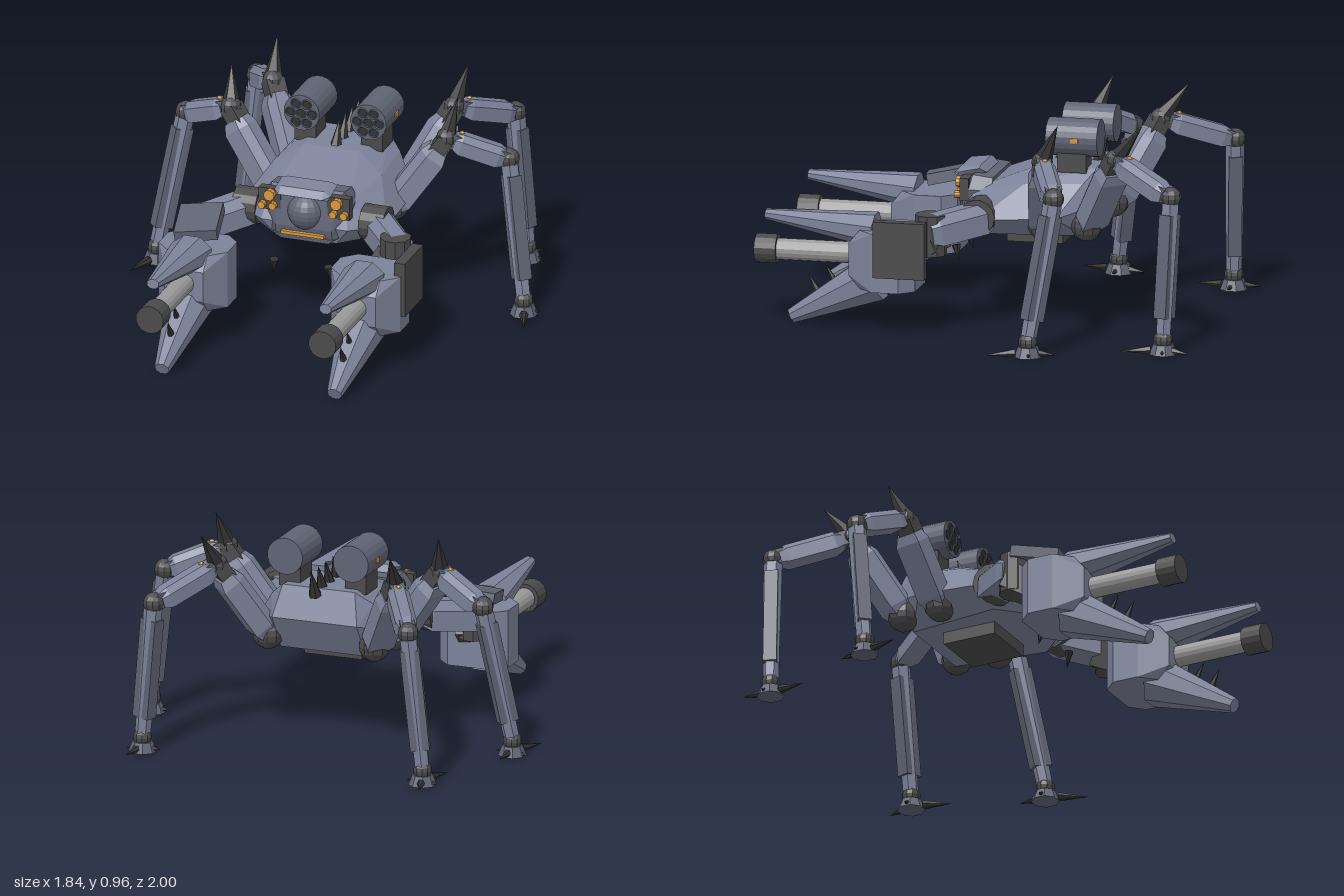
import * as THREE from 'three';
import { ConvexGeometry } from 'three/addons/geometries/ConvexGeometry.js';

const mat = (color) => new THREE.MeshStandardMaterial({ color, flatShading: true });
const ARMOUR = mat(0x7c8299), SLATE = mat(0x5f6474), DARK = mat(0x4a4a4c),
  BLACK = mat(0x333335), STEEL = mat(0x9a9a9a), AMBER = mat(0xd8983c);
const v = (p) => new THREE.Vector3(...p);

function add(parent, name, geometry, material, pos = [0, 0, 0], rot = [0, 0, 0]) {
  const m = new THREE.Mesh(geometry, material);
  m.name = name;
  m.position.set(...pos);
  m.rotation.set(...rot);
  parent.add(m);
  return m;
}

// Place a geometry whose length runs along z between two points
function span(parent, name, geometry, material, a, b) {
  const m = add(parent, name, geometry, material, v(a).add(v(b)).multiplyScalar(0.5).toArray());
  m.lookAt(v(b));
  return m;
}
const dist = (a, b) => v(a).distanceTo(v(b));
const rod = (p, name, material, a, b, r1, r2, sides = 8) =>
  span(p, name, new THREE.CylinderGeometry(r2, r1, dist(a, b), sides)
    .rotateY(Math.PI / sides).rotateX(Math.PI / 2), material, a, b);
const beam = (p, name, material, a, b, w, h) =>
  span(p, name, new THREE.BoxGeometry(w, h, dist(a, b)), material, a, b);
const spike = (p, name, a, b, r) => rod(p, name, BLACK, a, b, r, 0, 6);
const ball = (p, name, material, pos, r) =>
  add(p, name, new THREE.SphereGeometry(r, 10, 8), material, pos);
const mix = (a, b, t) => v(a).lerp(v(b), t).toArray();

// Faceted solid from one half of its corners, mirrored in x
const hull = (half) => new ConvexGeometry(half.flatMap(([x, y, z]) => [v([x, y, z]), v([-x, y, z])]));

// Armoured limb: eight-sided solid, chamfered section, with a narrower start and end
function plate(p, name, a, b, w, h) {
  const L = dist(a, b) / 2, pts = [];
  for (const [z, k] of [[-L, 0.75], [-L * 0.75, 1], [L * 0.75, 1], [L, 0.75]])
    for (const [x, y] of [[0.5, -0.5], [0.5, 0.2], [0.25, 0.5]]) pts.push([x * w * k, y * h * k, z]);
  return span(p, name, hull(pts), ARMOUR, a, b);
}

function body(g) {
  add(g, 'bodyShell', hull([
    [0.13, 0.72, -0.22], [0.17, 0.72, -0.47], [0.2, 0.58, -0.52], [0.25, 0.65, -0.16],
    [0.24, 0.66, -0.42], [0.345, 0.52, -0.32], [0.345, 0.5, 0.03], [0.2, 0.5, 0.14],
    [0.18, 0.6, 0.09], [0.2, 0.42, -0.42], [0.25, 0.42, 0], [0.14, 0.42, 0.11],
  ]), ARMOUR);
  add(g, 'bellyPlate', new THREE.BoxGeometry(0.27, 0.07, 0.25), DARK, [0, 0.4, -0.18]);
  for (let i = 0; i < 4; i++) {
    const z = -0.26 - i * 0.083;
    spike(g, 'dorsalSpike', [0, 0.7, z], [0, 0.825, z - 0.05], 0.03);
  }
}

function head(g) {
  const h = new THREE.Group();
  h.name = 'head';
  g.add(h);
  add(h, 'headFrame', hull([
    [0.21, 0.6, 0.1], [0.17, 0.66, 0.09], [0.19, 0.47, 0.1], [0.15, 0.63, 0.13], [0.13, 0.44, 0.14],
    [0.2, 0.6, 0], [0.17, 0.65, 0], [0.13, 0.42, 0.02], [0.13, 0.49, 0.15],
  ]), SLATE);
  add(h, 'hood', hull([
    [0.13, 0.66, 0.16], [0.1, 0.65, 0.19], [0.13, 0.68, 0.07], [0.11, 0.66, 0.04],
    [0.1, 0.68, 0.16], [0.1, 0.69, 0.07], [0.12, 0.64, 0.17],
  ]), ARMOUR);
  add(h, 'eyeDome', new THREE.SphereGeometry(0.085, 16, 12), SLATE, [0, 0.555, 0.105]);
  add(h, 'chin', hull([[0.14, 0.45, 0.15], [0.11, 0.42, 0.13], [0.14, 0.45, 0.04], [0.11, 0.42, 0.04]]), ARMOUR);
  add(h, 'chinLight', new THREE.BoxGeometry(0.2, 0.014, 0.03), AMBER, [0, 0.462, 0.15]);
  for (const s of [-1, 1]) {
    add(h, 'lampPanel', new THREE.BoxGeometry(0.1, 0.1, 0.04), DARK, [s * 0.16, 0.6, 0.12]);
    for (const [x, y, r] of [[0.155, 0.625, 0.025], [0.19, 0.575, 0.017], [0.14, 0.575, 0.017]])
      rod(h, 'lamp', AMBER, [s * x, y, 0.12], [s * x, y, 0.165], r, r, 10);
    spike(h, 'fang', [s * 0.125, 0.335, 0.175], [s * 0.135, 0.26, 0.16], 0.021);
  }
}

function rocketPod(g, s) {
  const p = new THREE.Group();
  p.name = 'rocketPod';
  g.add(p);
  const x = s * 0.155, y = 0.85;
  add(p, 'podMount', new THREE.BoxGeometry(0.1, 0.1, 0.13), DARK, [x, 0.75, -0.36]);
  rod(p, 'podDrum', SLATE, [x, y, -0.48], [x, y, -0.25], 0.083, 0.083, 20);
  for (let i = 0; i < 7; i++) {
    const r = i ? 0.05 : 0, a = i * Math.PI / 3;
    const c = [x + r * Math.cos(a), y + r * Math.sin(a)];
    rod(p, 'launchTube', BLACK, [...c, -0.3], [...c, -0.247], 0.021, 0.021, 12);
    add(p, 'tubeRim', new THREE.TorusGeometry(0.021, 0.003, 4, 12), SLATE, [...c, -0.247]);
  }
  add(p, 'podLight', new THREE.BoxGeometry(0.012, 0.02, 0.035), AMBER, [x + s * 0.082, y, -0.38]);
}

function leg(g, s, { name, hip, joint, knee, foot, tip, claws }) {
  const l = new THREE.Group();
  l.name = name;
  g.add(l);
  const m = ([x, y, z]) => [s * x, y, z];
  [hip, joint, knee, foot, tip] = [hip, joint, knee, foot, tip].map(m);
  // Hip and thigh
  ball(l, 'hipJoint', DARK, hip, 0.07);
  beam(l, 'thighCore', DARK, hip, joint, 0.085, 0.07);
  plate(l, 'thighArmour', mix(hip, joint, 0.02), mix(hip, joint, 0.85), 0.125, 0.12);
  ball(l, 'thighJoint', DARK, joint, 0.047);
  spike(l, 'thighSpike', mix(joint, tip, 0.1), tip, 0.04);
  // Shin running out to the knee
  beam(l, 'shinCore', SLATE, joint, knee, 0.065, 0.065);
  plate(l, 'shinArmour', mix(joint, knee, 0.12), mix(joint, knee, 0.92), 0.095, 0.09);
  const dot = mix(joint, knee, 0.25);
  add(l, 'legLight', new THREE.SphereGeometry(0.013, 8, 6), AMBER, [dot[0], dot[1] + 0.043, dot[2]]);
  ball(l, 'kneeJoint', DARK, knee, 0.047);
  // Lower leg
  const ankle = [foot[0], 0.085, foot[2]];
  rod(l, 'lowerLeg', ARMOUR, mix(knee, ankle, 0.04), ankle, 0.042, 0.035, 6);
  beam(l, 'lowerLegPlate', SLATE, mix(knee, ankle, 0.12), mix(knee, ankle, 0.85), 0.06, 0.085);
  ball(l, 'ankleJoint', DARK, ankle, 0.042);
  // Foot and its claws
  add(l, 'footPad', new THREE.CylinderGeometry(0.045, 0.062, 0.045, 8).rotateY(Math.PI / 8), SLATE, [foot[0], 0.042, foot[2]]);
  for (const c of claws) {
    const end = m(c), base = mix([foot[0], 0.042, foot[2]], end, 0.3);
    spike(l, 'footClaw', base, end, 0.02);
  }
}

function arm(g, s) {
  const a = new THREE.Group();
  a.name = s > 0 ? 'leftArm' : 'rightArm';
  g.add(a);
  const P = (x, y, z) => [s * x, y, z];
  const X = 0.4;
  // Shoulder, upper arm and elbow
  rod(a, 'shoulderJoint', DARK, P(0.24, 0.51, 0.03), P(0.35, 0.51, 0.03), 0.08, 0.08, 14);
  plate(a, 'upperArm', P(0.28, 0.51, 0.0), P(0.48, 0.47, 0.22), 0.14, 0.13);
  rod(a, 'elbowJoint', DARK, P(0.45, 0.36, 0.21), P(0.45, 0.54, 0.21), 0.07, 0.07, 10);
  beam(a, 'wrist', DARK, P(0.45, 0.44, 0.18), P(0.41, 0.36, 0.32), 0.14, 0.12);
  // Hand block with chamfered corners
  const hand = [];
  for (const y of [0.2, 0.46])
    for (const [x, z] of [[0.1, 0.27], [0.16, 0.33], [0.16, 0.45], [0.09, 0.52]]) hand.push([x, y, z]);
  hand.push([0.09, 0.4, 0.57], [0.09, 0.26, 0.57]);
  add(a, 'hand', hull(hand), ARMOUR, P(X, 0, 0));
  // Upper and lower pincers with teeth
  const upper = rod(a, 'upperPincer', ARMOUR, P(X, 0.445, 0.47), P(X, 0.492, 0.96), 0.1, 0.029);
  upper.scale.y = 0.8;
  rod(a, 'lowerPincer', ARMOUR, P(X, 0.235, 0.47), P(X, 0.043, 0.845), 0.11, 0.034);
  spike(a, 'pincerTooth', P(X, 0.16, 0.73), P(X, 0.235, 0.77), 0.017);
  spike(a, 'pincerTooth', P(X, 0.2, 0.65), P(X, 0.285, 0.695), 0.017);
  // Gun barrel
  rod(a, 'gunBarrel', STEEL, P(X, 0.338, 0.5), P(X, 0.338, 0.92), 0.047, 0.047, 16);
  rod(a, 'gunMuzzle', DARK, P(X, 0.338, 0.905), P(X, 0.338, 1), 0.064, 0.064, 16);
}

export function createModel() {
  const g = new THREE.Group();
  g.name = 'walkerMachine';
  body(g);
  head(g);
  for (const s of [-1, 1]) {
    rocketPod(g, s);
    arm(g, s);
    leg(g, s, {
      name: 'middleLeg', hip: [0.27, 0.48, -0.25], joint: [0.5, 0.81, -0.3], knee: [0.75, 0.705, -0.41],
      foot: [0.85, 0, -0.32], tip: [0.525, 0.98, -0.375],
      claws: [[0.915, 0.03, -0.14], [0.84, 0.03, -0.44], [0.92, 0.03, -0.34], [0.77, 0.03, -0.31]],
    });
    leg(g, s, {
      name: 'rearLeg', hip: [0.25, 0.48, -0.44], joint: [0.42, 0.82, -0.61], knee: [0.6, 0.705, -0.9],
      foot: [0.66, 0, -0.88], tip: [0.445, 0.98, -0.735],
      claws: [[0.7, 0.03, -0.7], [0.69, 0.03, -1], [0.73, 0.03, -0.89], [0.58, 0.03, -0.87]],
    });
  }
  // Shields: upright on the left hand, lying over the right one
  add(g, 'leftShield', new THREE.BoxGeometry(0.05, 0.25, 0.23), DARK, [0.553, 0.395, 0.325]);
  add(g, 'rightShield', new THREE.BoxGeometry(0.19, 0.05, 0.22), SLATE, [-0.42, 0.525, 0.32], [0.2, 0.2, 0.08]);
  return g;
}
